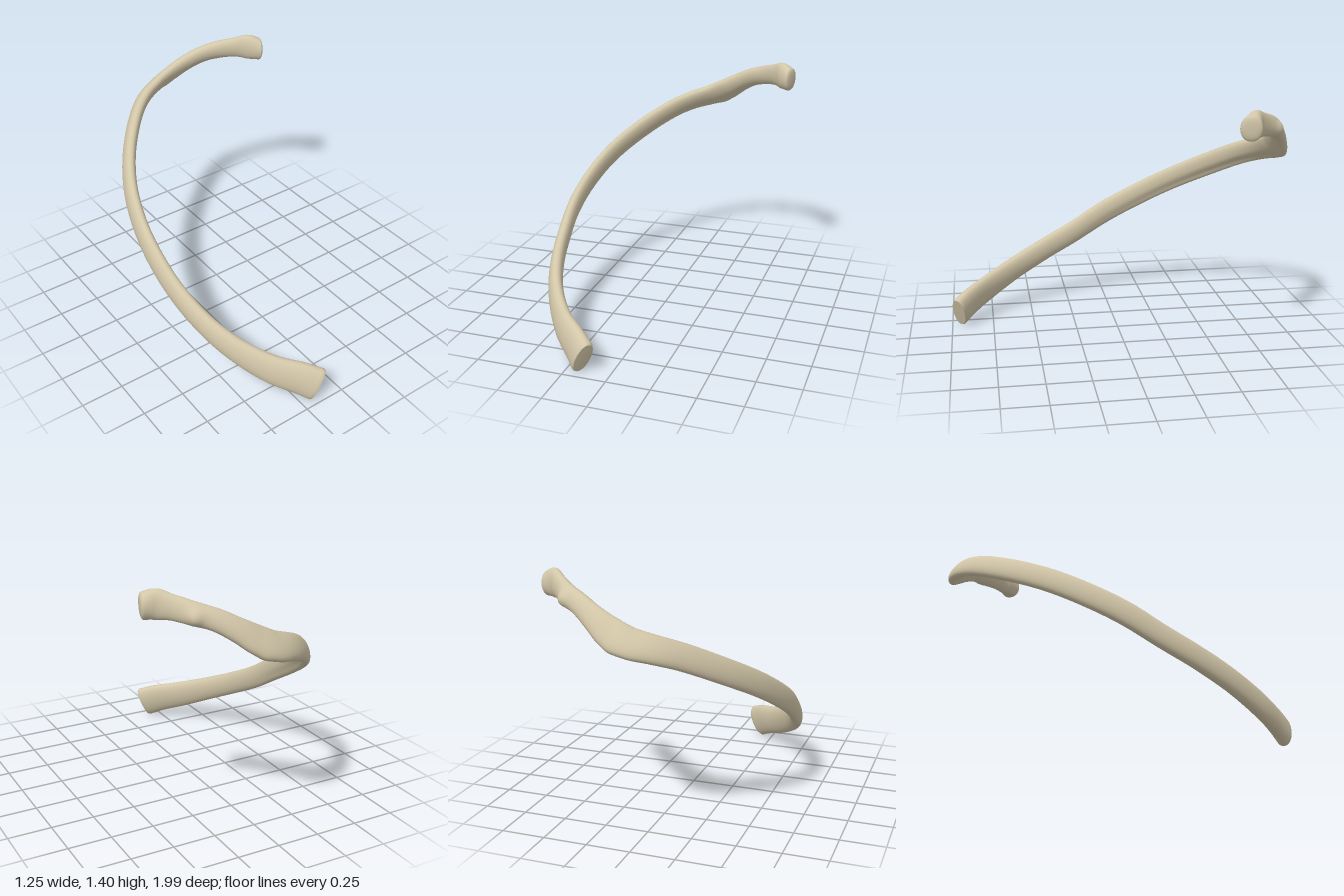
import * as THREE from 'three';
import { mergeVertices } from 'three/addons/utils/BufferGeometryUtils.js';

const RINGS = 150, SIDES = 36;

// Stations from the front end to the head: centre x, y, z, half height, half thickness, inward lean of the top
const stations = [
  [-0.145, 0.105, 0.955, 0.106, 0.050, 0.22],
  [-0.21, 0.140, 0.895, 0.102, 0.047, 0.2],
  [-0.335, 0.190, 0.775, 0.091, 0.043, 0.18],
  [-0.46, 0.275, 0.59, 0.078, 0.041, 0.15],
  [-0.535, 0.365, 0.40, 0.072, 0.040, 0.12],
  [-0.575, 0.465, 0.20, 0.071, 0.039, 0.12],
  [-0.587, 0.585, 0.00, 0.072, 0.038, 0.14],
  [-0.563, 0.695, -0.20, 0.072, 0.037, 0.18],
  [-0.500, 0.805, -0.40, 0.072, 0.037, 0.24],
  [-0.385, 0.915, -0.60, 0.073, 0.038, 0.32],
  [-0.213, 1.030, -0.795, 0.075, 0.039, 0.45],
  [-0.095, 1.080, -0.885, 0.080, 0.040, 0.6],
  [0.02, 1.115, -0.927, 0.086, 0.040, 0.68],
  [0.12, 1.160, -0.922, 0.082, 0.040, 0.66],
  [0.21, 1.215, -0.897, 0.066, 0.040, 0.58],
  [0.31, 1.270, -0.850, 0.058, 0.040, 0.42],
  [0.41, 1.303, -0.790, 0.060, 0.040, 0.25],
  [0.49, 1.325, -0.715, 0.066, 0.036, 0.1],
  [0.548, 1.333, -0.658, 0.079, 0.044, 0.0],
  [0.597, 1.323, -0.622, 0.070, 0.060, 0.0],
];

const path = new THREE.CatmullRomCurve3(stations.map((s) => new THREE.Vector3(s[0], s[1], s[2])));
const sizes = new THREE.CatmullRomCurve3(stations.map((s) => new THREE.Vector3(s[3], s[4], s[5])));
const UP = new THREE.Vector3(0, 1, 0);

// Small bony bumps: centre, radius, height
const bumps = [
  [new THREE.Vector3(0.42, 1.29, -0.84), 0.035, 0.022],
  [new THREE.Vector3(0.10, 1.08, -0.97), 0.045, 0.008],
];

// One oval cross-section, with a shallow groove low on the inner face
function section(u, scale = 1, push = 0) {
  const centre = path.getPoint(u);
  const tangent = path.getTangent(u);
  const { x: h, y: t, z: lean } = sizes.getPoint(u);
  // Turn the head's end towards the left side
  const facing = tangent.clone().lerp(new THREE.Vector3(1, 0, 0.2), 0.7 * THREE.MathUtils.smoothstep(u, 0.93, 1));
  facing.normalize();
  const inward = facing.clone().cross(UP).normalize().applyAxisAngle(facing, lean);
  const up = inward.clone().cross(facing).normalize();
  const groove = 0.25 * Math.sin(Math.PI * THREE.MathUtils.clamp((u - 0.25) / 0.55, 0, 1));
  const ring = [];
  for (let j = 0; j < SIDES; j++) {
    const a = (j / SIDES) * Math.PI * 2;
    const c = Math.cos(a), s = Math.sin(a);
    const dent = 1 - groove * Math.exp(-(((a - Math.PI * 1.82) / 0.35) ** 2));
    const p = centre.clone()
      .addScaledVector(inward, Math.sign(c) * Math.abs(c) ** 0.9 * t * scale * dent)
      .addScaledVector(up, s * h * scale)
      .addScaledVector(facing, push);
    for (const [at, radius, height] of bumps) {
      const amount = height * Math.exp(-p.distanceToSquared(at) / radius ** 2);
      p.addScaledVector(p.clone().sub(centre).normalize(), amount);
    }
    ring.push(p);
  }
  return ring;
}

// Skin a list of rings; a ring of equal points closes a tip
function skin(rings) {
  const positions = rings.flat().flatMap((p) => [p.x, p.y, p.z]);
  const index = [];
  for (let i = 0; i < rings.length - 1; i++) {
    for (let j = 0; j < SIDES; j++) {
      const k = (j + 1) % SIDES;
      const a = i * SIDES + j, b = i * SIDES + k;
      const c = a + SIDES, d = b + SIDES;
      index.push(a, b, c, b, d, c);
    }
  }
  let geometry = new THREE.BufferGeometry();
  geometry.setAttribute('position', new THREE.Float32BufferAttribute(positions, 3));
  geometry.setIndex(index);
  geometry = mergeVertices(geometry, 1e-5);
  geometry.computeVertexNormals();
  return geometry;
}

export function createModel() {
  const group = new THREE.Group();
  group.name = 'rib';
  const bone = new THREE.MeshStandardMaterial({ color: 0xd2c6a8 });
  bone.name = 'bone';
  bone.side = THREE.DoubleSide;

  // Curved shaft with neck and a rounded head
  const rings = [section(0, 0.93, -0.004)];
  for (let i = 0; i <= RINGS; i++) rings.push(section(0.004 + (i / RINGS) * 0.996));
  for (let i = 1; i <= 6; i++) {
    const a = (i / 6) * Math.PI / 2;
    rings.push(section(1, i === 6 ? 0 : Math.cos(a) ** 0.7, 0.018 * Math.sin(a)));
  }
  const shaft = new THREE.Mesh(skin(rings), bone);
  shaft.name = 'ribShaft';
  group.add(shaft);

  // Flat oval face at the front end
  const face = new THREE.Mesh(skin([section(0, 0, -0.007), section(0, 0.93, -0.004)]), bone);
  face.name = 'frontEndFace';
  group.add(face);

  // Stand on the ground, centred
  const box = new THREE.Box3().setFromObject(group);
  const mid = box.getCenter(new THREE.Vector3());
  for (const mesh of group.children) mesh.geometry.translate(-mid.x, -box.min.y, -mid.z);
  return group;
}
